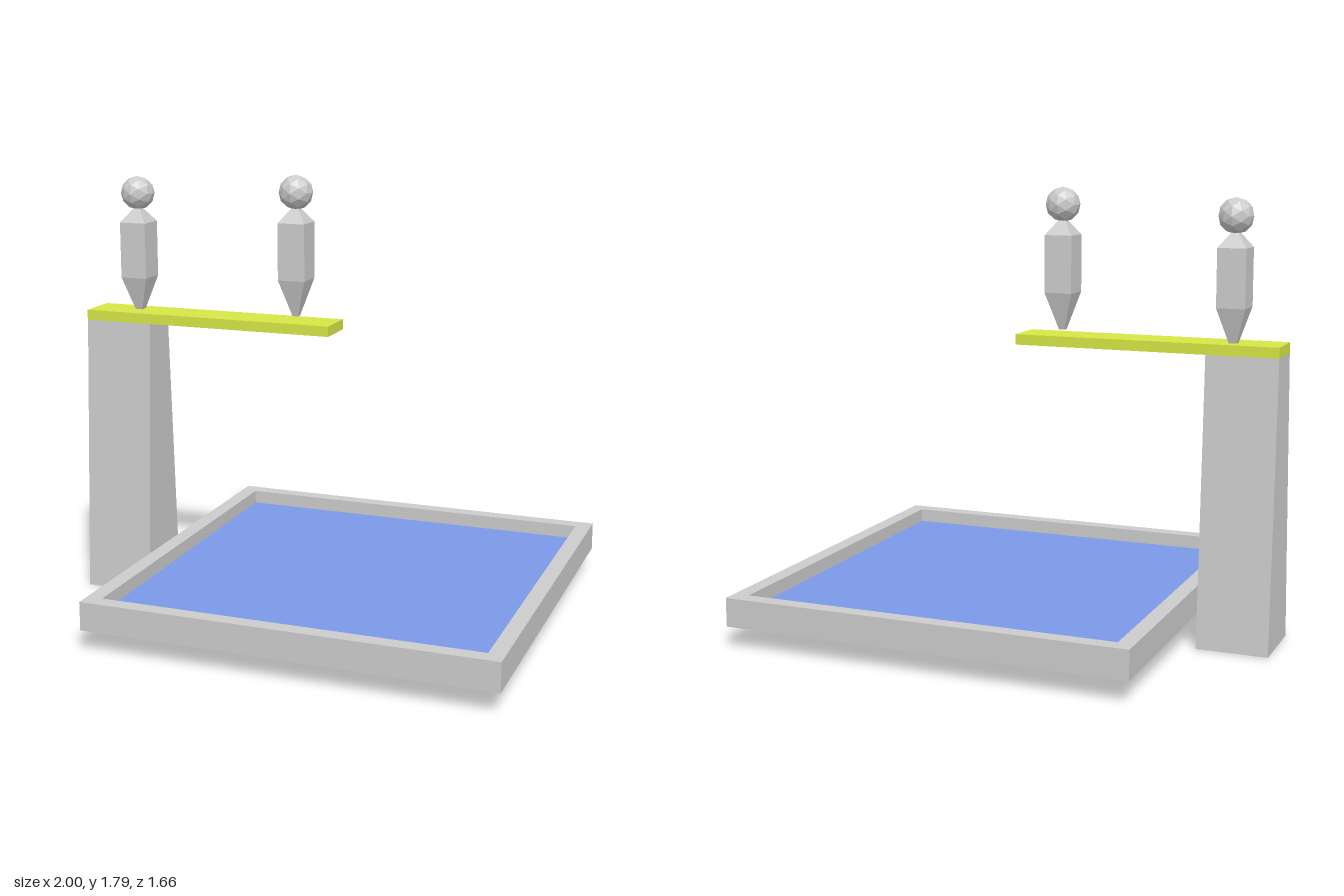
import * as THREE from 'three';

const material = (color = 0xcccccc) => new THREE.MeshStandardMaterial({ color, flatShading: true });
const grey = material();
const yellow = material(0xd6e645);
const blue = material(0x7b99e8);

function addMesh(parent, name, geometry, mat, x = 0, y = 0, z = 0) {
  const mesh = new THREE.Mesh(geometry, mat);
  mesh.name = name;
  mesh.position.set(x, y, z);
  parent.add(mesh);
  return mesh;
}

// Corners of a rectangle centred on the origin
const rectangle = (hx, hy) => [[-hx, -hy], [hx, -hy], [hx, hy], [-hx, hy]].map(([x, y]) => new THREE.Vector2(x, y));

// Square-section body, pointed at the foot and neck, with a faceted ball head
function createFigure(name, x, y, z) {
  const figure = new THREE.Group();
  figure.name = name;
  figure.position.set(x, y, z);
  const profile = [[0, 0], [0.012, 0], [0.057, 0.15], [0.057, 0.38], [0.012, 0.44], [0, 0.44]]
    .map(([half, h]) => new THREE.Vector2(half * Math.SQRT2, h));
  addMesh(figure, 'body', new THREE.LatheGeometry(profile, 4, Math.PI / 4), grey);
  addMesh(figure, 'head', new THREE.IcosahedronGeometry(0.07, 1), grey, 0, 0.5, 0);
  return figure;
}

export function createModel() {
  const model = new THREE.Group();
  model.name = 'divingPool';

  // Pool: raised rim, closed floor and recessed water
  const pool = new THREE.Group();
  pool.name = 'pool';
  pool.position.set(0.167, 0.09, 0);
  const rim = new THREE.Shape(rectangle(0.833, 0.832));
  rim.holes.push(new THREE.Path(rectangle(0.768, 0.768).reverse()));
  const rimGeometry = new THREE.ExtrudeGeometry(rim, { depth: 0.117, bevelEnabled: false });
  rimGeometry.rotateX(-Math.PI / 2);
  addMesh(pool, 'poolRim', rimGeometry, grey);
  addMesh(pool, 'poolFloor', new THREE.BoxGeometry(1.536, 0.03, 1.536), grey, 0, 0.015, 0);
  const waterGeometry = new THREE.PlaneGeometry(1.536, 1.536).rotateX(-Math.PI / 2);
  addMesh(pool, 'water', waterGeometry, blue, 0, 0.06, 0);
  model.add(pool);

  // Tower: tapers only from front to back
  const side = new THREE.Shape([[-0.147, 0], [0.147, 0], [0.085, 1.16], [-0.085, 1.16]]
    .map(([z, y]) => new THREE.Vector2(z, y)));
  const towerGeometry = new THREE.ExtrudeGeometry(side, { depth: 0.29, bevelEnabled: false });
  towerGeometry.rotateY(Math.PI / 2);
  addMesh(model, 'tower', towerGeometry, grey, -1, 0, 0);

  // Diving board
  addMesh(model, 'divingBoard', new THREE.BoxGeometry(1.08, 0.042, 0.174), yellow, -0.46, 1.181, 0);

  // Two divers
  model.add(createFigure('waitingDiver', -0.803, 1.19, -0.018));
  model.add(createFigure('leadingDiver', -0.09, 1.22, 0));

  return model;
}
